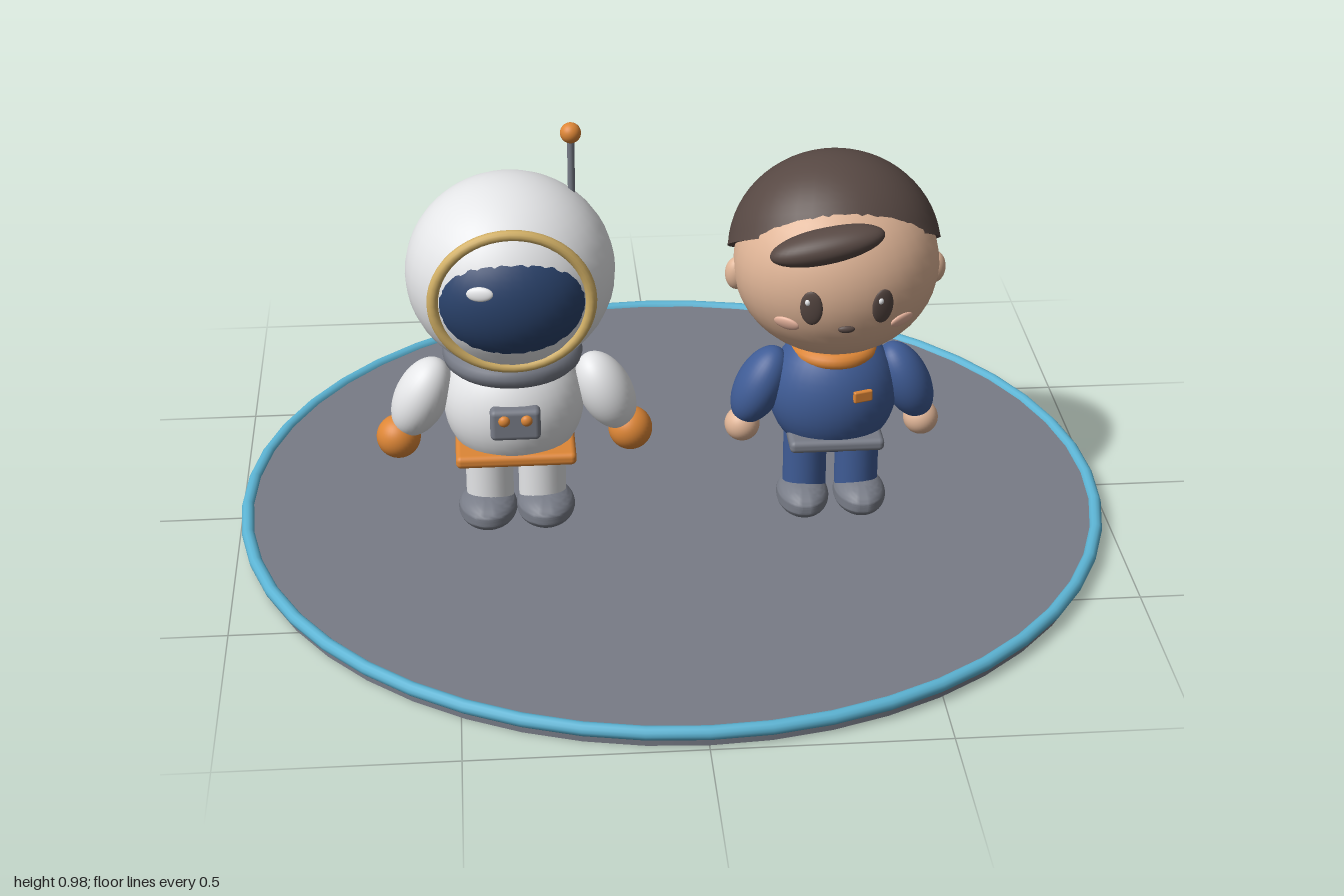
import * as THREE from 'three';
import { toCreasedNormals } from 'three/addons/utils/BufferGeometryUtils.js';
import { RoundedBoxGeometry } from 'three/addons/geometries/RoundedBoxGeometry.js';

const mat = (name, color) => {
  const m = new THREE.MeshStandardMaterial({ color });
  m.name = name;
  return m;
};

export function createModel() {
  const white = mat('suit white', 0xe8e9eb);
  const grey = mat('grey', 0x787c87);
  const skin = mat('skin', 0xe0b597);
  const brown = mat('dark brown', 0x574843);
  const blue = mat('uniform blue', 0x3f5c96);
  const orange = mat('orange', 0xdd8636);
  const gold = mat('gold', 0xd2b066);
  const navy = mat('visor navy', 0x2a426b);
  const cyan = mat('rim cyan', 0x5cb4d4);
  const blush = mat('blush', 0xeeb9a2);

  const add = (parent, name, geo, material, x = 0, y = 0, z = 0) => {
    const m = new THREE.Mesh(geo, material);
    m.name = name;
    m.position.set(x, y, z);
    parent.add(m);
    return m;
  };
  const ball = (rx, ry, rz) => new THREE.SphereGeometry(1, 36, 24).scale(rx, ry, rz);
  const box = (w, h, d, r) => new RoundedBoxGeometry(w, h, d, 3, r);
  const ring = (R, r) => new THREE.TorusGeometry(R, r, 12, 48).rotateX(Math.PI / 2);

  // Unit ball cut flat at height "cut", tilted back and scaled
  const cutBall = (cut, tilt, rx, ry, rz) => {
    const g = new THREE.SphereGeometry(1, 40, 32);
    const p = g.attributes.position;
    for (let i = 0; i < p.count; i++) p.setY(i, Math.max(cut, p.getY(i)));
    g.rotateX(-tilt).scale(rx, ry, rz);
    return toCreasedNormals(g, 0.7);
  };

  const root = new THREE.Group();

  // Round platform with a coloured rim
  const platform = new THREE.Group();
  platform.name = 'platform';
  root.add(platform);
  add(platform, 'platformDisc', new THREE.CylinderGeometry(0.985, 0.985, 0.036, 48), grey, 0, 0.018);
  add(platform, 'platformRim', ring(0.985, 0.015), cyan, 0, 0.031);

  // Torso, belt, arms, hands, legs and boots shared by both figures
  const figure = (name, x, o) => {
    const g = new THREE.Group();
    g.name = name;
    g.position.set(x, 0, 0.08);
    root.add(g);
    add(g, 'torso', ball(o.torso, 0.155, o.depth), o.suit, 0, 0.33);
    add(g, 'belt', box(o.belt, 0.03, o.beltDepth, 0.012), o.beltMat, 0, 0.235);
    for (const s of [-1, 1]) {
      const arm = add(g, 'arm', ball(o.armR, 0.1, o.armR + 0.008), o.suit, s * o.armX, 0.345);
      arm.rotation.z = s * 0.45;
      add(g, 'hand', ball(o.handR, o.handR, o.handR), o.handMat, s * o.handX, 0.246);
      add(g, 'leg', new THREE.CylinderGeometry(o.legR, o.legR, 0.16, 28), o.suit, s * 0.06, 0.165);
      add(g, 'boot', cutBall(-0.75, 0, o.bootR, 0.043, 0.09), grey, s * 0.066, 0.068, 0.018);
    }
    return g;
  };

  // Astronaut
  const astro = figure('astronaut', -0.364, {
    torso: 0.158, depth: 0.14, suit: white, belt: 0.27, beltDepth: 0.25, beltMat: orange,
    armX: 0.208, armR: 0.06, handX: 0.263, handR: 0.05, handMat: orange, legR: 0.054, bootR: 0.067,
  });
  add(astro, 'neckRing', ring(0.128, 0.029), grey, 0, 0.456);
  add(astro, 'helmet', ball(0.232, 0.22, 0.232), white, 0, 0.652);
  add(astro, 'visor', ball(0.174, 0.148, 0.118), navy, 0, 0.652, 0.12);
  const frame = add(astro, 'visorFrame', new THREE.TorusGeometry(0.171, 0.013, 12, 48), gold, 0, 0.652, 0.163);
  frame.scale.y = 0.92;
  const glint = add(astro, 'visorGlint', ball(0.03, 0.016, 0.008), white, -0.069, 0.7, 0.22);
  glint.rotation.set(-0.25, -0.3, 0);
  add(astro, 'antennaRod', new THREE.CylinderGeometry(0.008, 0.008, 0.16, 12), grey, 0.14, 0.87, -0.042);
  add(astro, 'antennaTip', ball(0.023, 0.023, 0.023), orange, 0.14, 0.957, -0.042);

  // Chest panel with two buttons
  add(astro, 'chestPanel', box(0.112, 0.075, 0.04, 0.012), grey, 0, 0.342, 0.135);
  for (const s of [-1, 1]) add(astro, 'panelButton', ball(0.013, 0.013, 0.01), orange, s * 0.025, 0.356, 0.155);

  // Backpack with a strap
  add(astro, 'backpack', box(0.24, 0.23, 0.11, 0.035), white, 0, 0.372, -0.15);
  add(astro, 'backpackStrap', box(0.21, 0.032, 0.02, 0.008), orange, 0, 0.37, -0.206);

  // Boy in uniform
  const boy = figure('boy', 0.361, {
    torso: 0.147, depth: 0.122, suit: blue, belt: 0.215, beltDepth: 0.225, beltMat: grey,
    armX: 0.167, armR: 0.055, handX: 0.206, handR: 0.04, handMat: skin, legR: 0.05, bootR: 0.06,
  });
  add(boy, 'collar', ring(0.08, 0.02), orange, 0, 0.436);
  const badge = add(boy, 'badge', box(0.045, 0.027, 0.012, 0.004), orange, 0.053, 0.364, 0.112);
  badge.rotation.y = 0.3;

  // Head, ears and hair
  const head = new THREE.Vector3(0.23, 0.21, 0.2);
  const headY = 0.647;
  add(boy, 'head', ball(head.x, head.y, head.z), skin, 0, headY);
  add(boy, 'hair', cutBall(0.08, 0.48, 0.239, 0.228, 0.215), brown, 0, 0.66, -0.037);
  const fringe = add(boy, 'fringe', ball(0.127, 0.038, 0.05), brown, -0.042, 0.757, 0.153);
  fringe.rotation.z = 0.2;
  for (const s of [-1, 1]) add(boy, 'ear', ball(0.026, 0.038, 0.024), skin, s * 0.222, 0.624, -0.005);

  // Face details lie flat on the head surface
  const onFace = (name, material, x, y, rx, ry, lift = 0) => {
    const dy = y - headY;
    const z = head.z * Math.sqrt(1 - (x / head.x) ** 2 - (dy / head.y) ** 2);
    const n = new THREE.Vector3(x / head.x ** 2, dy / head.y ** 2, z / head.z ** 2).normalize();
    const m = add(boy, name, ball(rx, ry, 0.008), material, x, y, z);
    m.position.addScaledVector(n, lift);
    m.quaternion.setFromUnitVectors(new THREE.Vector3(0, 0, 1), n);
  };
  for (const s of [-1, 1]) {
    onFace('eye', brown, s * 0.078, 0.624, 0.025, 0.042);
    onFace('eyeGlint', white, s * 0.078 - 0.007, 0.64, 0.007, 0.009, 0.003);
    onFace('cheek', blush, s * 0.127, 0.572, 0.03, 0.017);
  }
  onFace('mouth', brown, 0, 0.57, 0.019, 0.009);

  return root;
}
